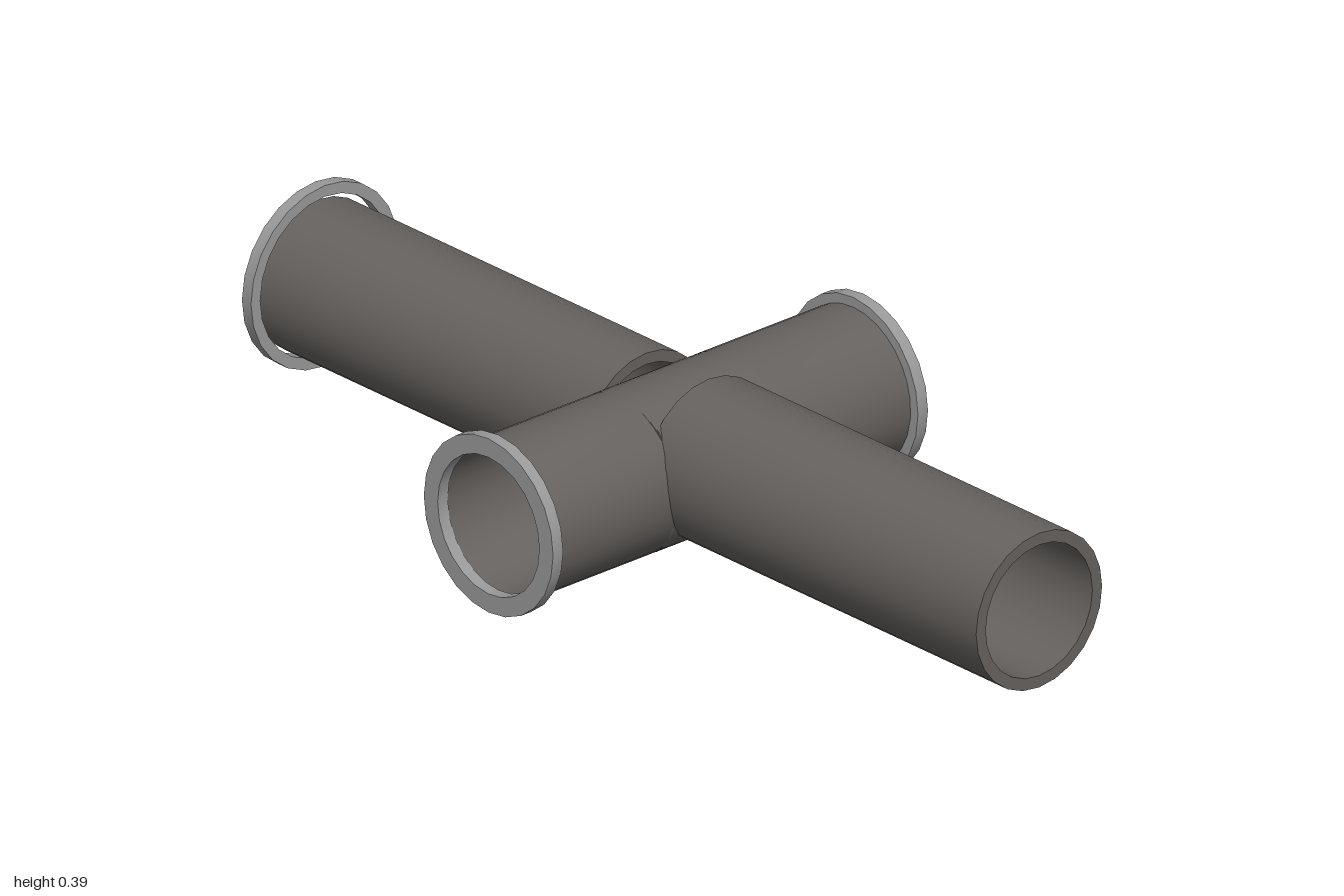
import * as THREE from 'three';
import { toCreasedNormals, mergeGeometries } from 'three/addons/utils/BufferGeometryUtils.js';

const pipeMaterial = new THREE.MeshStandardMaterial({ color: 0x66625f });
const flangeMaterial = new THREE.MeshStandardMaterial({ color: 0x999999 });
const SIDES = 24;

// Hollow ring or pipe along +y from 0 to length, with open bore
function tube(outer, inner, length) {
  const profile = [[outer, 0], [outer, length], [inner, length], [inner, 0], [outer, 0]]
    .map(([r, y]) => new THREE.Vector2(r, y));
  return toCreasedNormals(new THREE.LatheGeometry(profile, SIDES), 0.5);
}

// Half of the cross pipe wall, lofted along z; its edges follow the side openings
function wallHalf(stations, range, outer, inner) {
  const n = 14, loop = 2 * (n + 1), pos = [], index = [];
  for (const z of stations) {
    const [a0, a1] = range(z, outer), [b0, b1] = range(z, inner);
    for (let j = 0; j <= n; j++) {
      const a = a0 + (a1 - a0) * j / n;
      pos.push(outer * Math.cos(a), outer * Math.sin(a), z);
    }
    for (let j = n; j >= 0; j--) {
      const a = b0 + (b1 - b0) * j / n;
      pos.push(inner * Math.cos(a), inner * Math.sin(a), z);
    }
  }
  for (let i = 0; i < stations.length - 1; i++) {
    for (let j = 0; j < loop; j++) {
      const a = i * loop + j, b = i * loop + (j + 1) % loop;
      index.push(a, b, a + loop, b, b + loop, a + loop);
    }
  }
  const g = new THREE.BufferGeometry();
  g.setAttribute('position', new THREE.Float32BufferAttribute(pos, 3));
  g.setIndex(index);
  return g;
}

export function createModel() {
  const group = new THREE.Group();
  const add = (name, geometry, material, x, y, z) => {
    const mesh = new THREE.Mesh(geometry, material);
    mesh.name = name;
    mesh.position.set(x, y, z);
    group.add(mesh);
  };

  // Cross pipe running front to back, with a round opening on each side
  const holeR = 0.14, mid = 0.025, R = 0.158, r = 0.142;
  const half = (z) => Math.sqrt(Math.max(0, holeR * holeR - z * z));
  const topRange = (z, rad) => {
    const a = Math.asin(Math.min(0.125, mid + half(z)) / rad);
    return [a, Math.PI - a];
  };
  const bottomRange = (z, rad) => {
    const a = Math.asin((mid - half(z)) / rad);
    return [Math.PI - a, 2 * Math.PI + a];
  };
  const stations = [-0.465];
  for (let k = 0; k <= 20; k++) stations.push(-holeR * Math.cos(Math.PI * k / 20));
  stations.push(0.465);
  const wall = mergeGeometries([
    wallHalf(stations, topRange, R, r),
    wallHalf(stations, bottomRange, R, r),
  ]);
  add('crossPipe', toCreasedNormals(wall, 0.5), pipeMaterial, -0.003, 0.18, 0);

  // Flanges on both ends of the cross pipe
  for (const [name, z] of [['frontFlange', 0.445], ['backFlange', -0.47]]) {
    add(name, tube(0.178, 0.14, 0.025).rotateX(Math.PI / 2), flangeMaterial, -0.003, 0.18, z);
  }

  // Side pipes, both reaching a little way into the cross pipe
  const alongX = (outer, inner, length) => tube(outer, inner, length).rotateZ(-Math.PI / 2);
  add('leftPipe', alongX(0.158, 0.134, 0.91), pipeMaterial, 0.09, 0.207, 0.003);
  add('rightPipe', alongX(0.153, 0.13, 0.905), pipeMaterial, -0.995, 0.2, -0.005);

  // Loose flange ring on the right pipe
  add('rightFlange', alongX(0.185, 0.162, 0.025), flangeMaterial, -1, 0.204, -0.005);
  return group;
}
